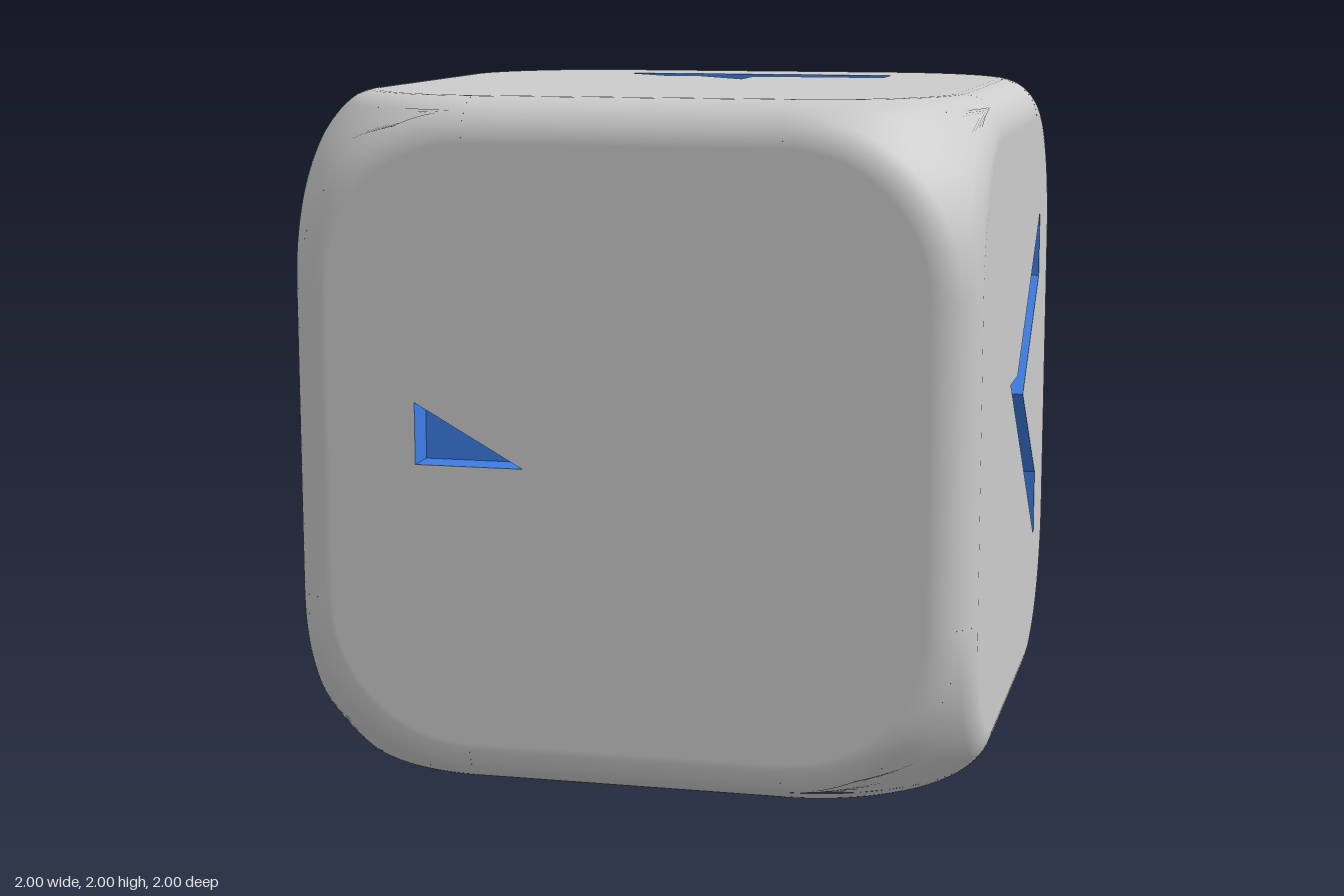
import * as THREE from 'three';
import { mergeGeometries } from 'three/addons/utils/BufferGeometryUtils.js';

const EDGE = 0.13;          // edge rounding radius
const FLAT = 1 - EDGE;      // half width of each flat face
const ARC = 0.41;           // corner radius of each flat face
const MID = FLAT - ARC;     // where the corner blends begin
const BALL = ARC * Math.SQRT2 + EDGE; // radius of the corner caps
const DEPTH = 0.1;          // groove depth
const Q = Math.PI / 2;

const shell = new THREE.MeshStandardMaterial({ color: 0xcccccc });
const paint = new THREE.MeshStandardMaterial({ color: 0x3d7de6, side: THREE.DoubleSide });

// Smooth grid whose points are core + radius * normal
function patch(nu, nv, radius, rule) {
  const pos = [], nor = [], idx = [];
  for (let i = 0; i <= nu; i++) {
    for (let j = 0; j <= nv; j++) {
      const { core, n } = rule(i / nu, j / nv);
      pos.push(...core.map((c, k) => c + radius * n[k]));
      nor.push(...n);
      if (i < nu && j < nv) {
        const a = i * (nv + 1) + j, b = a + nv + 1;
        idx.push(a, b, b + 1, a, b + 1, a + 1);
      }
    }
  }
  const g = new THREE.BufferGeometry();
  g.setAttribute('position', new THREE.Float32BufferAttribute(pos, 3));
  g.setAttribute('normal', new THREE.Float32BufferAttribute(nor, 3));
  g.setIndex(idx);
  return g;
}

const polar = (t, p) => [Math.sin(t) * Math.cos(p), Math.sin(t) * Math.sin(p), Math.cos(t)];

// Turns the x, y and z axes into one another
const cycle = (k) => new THREE.Quaternion().setFromAxisAngle(
  new THREE.Vector3(1, 1, 1).normalize(), (k * Math.PI * 2) / 3);

// Straight rounded edge along y
function edgeGeometry() {
  return patch(10, 1, EDGE, (u, v) => ({
    core: [FLAT, MID * (2 * v - 1), FLAT],
    n: [Math.sin(u * Q), 0, Math.cos(u * Q)],
  }));
}

// Corner: three curved rims around a spherical cap
function cornerGeometry() {
  const cap = patch(12, 32, BALL, (u, v) => {
    const p = v * Q, start = Q / 2;
    const end = Math.asin(Math.min(1, Math.SQRT1_2 / Math.max(Math.cos(p), Math.sin(p))));
    return { core: [MID, MID, MID], n: polar(start + (end - start) * u, p) };
  });
  const rim = patch(6, 32, EDGE, (u, v) => {
    const p = v * Q;
    return {
      core: [MID + ARC * Math.cos(p), MID + ARC * Math.sin(p), FLAT],
      n: polar(u * Q / 2, p),
    };
  });
  return mergeGeometries([cap, ...[0, 1, 2].map((k) => rim.clone().applyQuaternion(cycle(k)))]);
}

// Outline of a flat face: a square with wide round corners
function faceShape() {
  const s = new THREE.Shape();
  for (let k = 0; k < 4; k++) {
    const a = k * Q, m = Q / 2 + a;
    s.absarc(MID * Math.SQRT2 * Math.cos(m), MID * Math.SQRT2 * Math.sin(m), ARC, a, a + Q, false);
  }
  s.closePath();
  return s;
}

// Side walls of a groove, one flat strip per outline segment
function wallGeometry(pts) {
  const pos = [];
  pts.forEach(([ax, ay], i) => {
    const [bx, by] = pts[(i + 1) % pts.length];
    const lo = 1 - DEPTH;
    pos.push(ax, ay, 1, ax, ay, lo, bx, by, lo, ax, ay, 1, bx, by, lo, bx, by, 1);
  });
  const g = new THREE.BufferGeometry();
  g.setAttribute('position', new THREE.Float32BufferAttribute(pos, 3));
  g.computeVertexNormals();
  return g;
}

function mesh(geometry, material, name) {
  const m = new THREE.Mesh(geometry, material);
  m.name = name;
  return m;
}

// Flat face with sunken grooves, facing +z
function buildFace(name, grooves) {
  const group = new THREE.Group();
  group.name = name;
  const outline = faceShape();
  for (const raw of grooves) {
    const pts = raw.map(([x, y]) => new THREE.Vector2(x, y));
    const clockwise = THREE.ShapeUtils.isClockWise(pts);
    outline.holes.push(new THREE.Path(pts));
    const floor = new THREE.ShapeGeometry(new THREE.Shape(pts)).translate(0, 0, 1 - DEPTH);
    group.add(mesh(floor, paint, 'grooveFloor'));
    group.add(mesh(wallGeometry(clockwise ? [...raw].reverse() : raw), paint, 'grooveWalls'));
  }
  group.add(mesh(new THREE.ShapeGeometry(outline, 16).translate(0, 0, 1), shell, 'facePlate'));
  return group;
}

// Groove outlines on each face, with the face's turn about x and y
const FACES = [
  { name: 'frontFace', rx: 0, ry: 0, grooves: [[[-0.61, 0.13], [-0.61, -0.05], [-0.29, -0.05]]] },
  { name: 'leftFace', rx: 0, ry: Q, grooves: [[[0.62, 0.56], [0.62, 0.35], [0.2, 0.02],
    [0.62, -0.31], [0.62, -0.525], [-0.15, 0.105], [0.04, 0.105]]] },
  { name: 'backFace', rx: 0, ry: 2 * Q, grooves: [
    [[-0.25, 0.207], [0.605, 0.607], [0.605, 0.404], [0.245, 0.25], [0.245, -0.178],
      [0.08, -0.055], [0.08, 0.173], [-0.104, 0.088]],
    [[0.525, -0.4], [0.605, -0.424], [0.605, -0.46]]] },
  { name: 'rightFace', rx: 0, ry: -Q, grooves: [[[-0.073, 0.134], [0.065, -0.034], [0.065, -0.3],
    [0.3, -0.3], [0.45, -0.47], [-0.61, -0.47], [-0.45, -0.3], [-0.085, -0.3],
    [-0.085, -0.037], [-0.156, 0.034]]] },
  { name: 'topFace', rx: -Q, ry: 0, grooves: [[[-0.4, 0.625], [0.5, 0.625], [0.5, 0.465],
    [0.07, 0.465], [0.07, 0.275], [-0.11, 0.465], [-0.23, 0.465]]] },
  { name: 'bottomFace', rx: Q, ry: 0, grooves: [[[0.48, 0.395], [0.34, 0.235], [-0.46, 0.22],
    [-0.58, -0.33], [-0.61, -0.33], [-0.61, 0.385]]] },
];

export function createModel() {
  const model = new THREE.Group();
  model.name = 'roundedCube';
  const body = new THREE.Group();
  body.name = 'body';
  body.position.y = 1;
  model.add(body);

  for (const { name, rx, ry, grooves } of FACES) {
    const face = buildFace(name, grooves);
    face.rotation.set(rx, ry, 0);
    body.add(face);
  }

  const edge = edgeGeometry(), corner = cornerGeometry();
  for (let k = 0; k < 4; k++) {
    const turn = new THREE.Quaternion().setFromAxisAngle(new THREE.Vector3(0, 1, 0), k * Q);
    // Twelve edges: four along each axis
    for (let axis = 0; axis < 3; axis++) {
      const e = mesh(edge, shell, 'roundedEdge');
      e.quaternion.copy(cycle(axis)).multiply(turn);
      body.add(e);
    }
    // Eight corners: four on top, four below
    for (const flip of [0, Math.PI]) {
      const c = mesh(corner, shell, 'roundedCorner');
      c.quaternion.copy(turn).multiply(
        new THREE.Quaternion().setFromAxisAngle(new THREE.Vector3(1, 0, 0), flip));
      body.add(c);
    }
  }
  return model;
}
